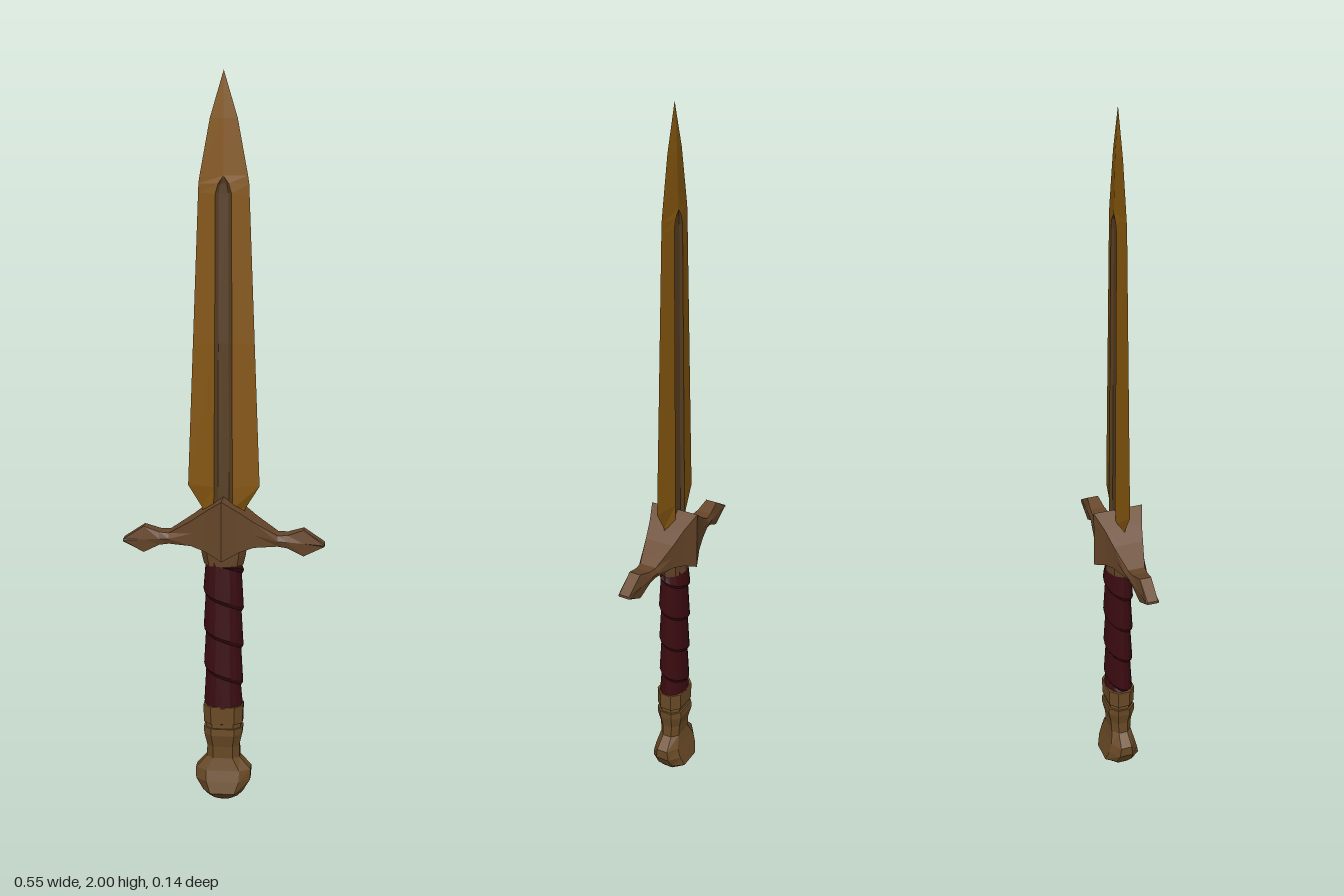
import * as THREE from 'three';

const mat = (name, color, side = THREE.FrontSide) => {
  const m = new THREE.MeshStandardMaterial({ color, side, flatShading: true });
  m.name = name;
  return m;
};

// Joins rings of points into a faceted skin; columns picks some strips only
function loft(rings, { columns = null, caps = true } = {}) {
  const pos = [];
  const tri = (a, b, c) => {
    const area = b.clone().sub(a).cross(c.clone().sub(a)).length();
    if (area > 1e-9) pos.push(...a, ...b, ...c);
  };
  const n = rings[0].length;
  for (let i = 0; i < rings.length - 1; i++) {
    for (let j = 0; j < n; j++) {
      if (columns && !columns.includes(j)) continue;
      const k = (j + 1) % n;
      const [a, b, c, d] = [rings[i][j], rings[i][k], rings[i + 1][k], rings[i + 1][j]];
      tri(a, b, c);
      tri(a, c, d);
    }
  }
  if (caps) {
    const first = rings[0], last = rings[rings.length - 1];
    for (let j = 1; j < n - 1; j++) {
      tri(first[0], first[j + 1], first[j]);
      tri(last[0], last[j], last[j + 1]);
    }
  }
  const g = new THREE.BufferGeometry();
  g.setAttribute('position', new THREE.Float32BufferAttribute(pos, 3));
  g.computeVertexNormals();
  return g;
}

// Horizontal oval ring with half sizes hx and hz
function oval(y, hx, hz, sides = 12) {
  return Array.from({ length: sides }, (_, j) => {
    const t = (j / sides) * Math.PI * 2;
    return new THREE.Vector3(Math.sin(t) * hx, y, Math.cos(t) * hz);
  });
}

// Horizontal ring with broad faces and chamfered corners
function chamfered(y, hx, hz) {
  const a = hx * 0.6, b = hz * 0.45;
  return [[-a, hz], [a, hz], [hx, b], [hx, -b], [a, -hz], [-a, -hz], [-hx, -b], [-hx, b]]
    .map(([x, z]) => new THREE.Vector3(x, y, z));
}

// Blade cross-section: w edge, t thickness, s fuller half width, f fuller floor
function bladeRing([y, w, t, s, f]) {
  const q = s * 0.6;
  return [[-w, 0], [-s, t], [-q, f], [q, f], [s, t], [w, 0], [s, -t], [q, -f], [-q, -f], [-s, -t]]
    .map(([x, z]) => new THREE.Vector3(x, y, z));
}

// Overlapping leather strip wound around the grip
function wrapGeometry(y0, y1, pitch) {
  const pos = [], index = [], perTurn = 16;
  const steps = Math.ceil(((y1 - y0) / pitch + 1) * perTurn);
  const clamp = y => Math.min(y1, Math.max(y0, y));
  for (let i = 0; i <= steps; i++) {
    const t = (i / perTurn) * Math.PI * 2;
    const top = y1 + pitch - (i / perTurn) * pitch;
    const put = (y, r) => {
      const k = 1 + 0.1 * (y - y0);
      pos.push(Math.sin(t) * (0.047 + r) * k, clamp(y), Math.cos(t) * (0.032 + r) * k);
    };
    put(top, 0.001);
    put(top - pitch * 0.9, 0.007);
    put(top - pitch, 0.001);
    if (i < steps) {
      for (let j = 0; j < 2; j++) {
        const a = i * 3 + j, b = a + 3;
        index.push(a, a + 1, b + 1, a, b + 1, b);
      }
    }
  }
  const g = new THREE.BufferGeometry();
  g.setAttribute('position', new THREE.Float32BufferAttribute(pos, 3));
  g.setIndex(index);
  g.computeVertexNormals();
  return g;
}

export function createModel() {
  const group = new THREE.Group();
  group.name = 'dagger';
  const gold = mat('blade gold', 0x85560f);
  const fullerBrown = mat('fuller brown', 0x573d20);
  const bronze = mat('guard bronze', 0x67462a);
  const pommelBronze = mat('pommel bronze', 0x6a4a26);
  const leather = mat('dark red leather', 0x3a0b10, THREE.DoubleSide);
  const add = (name, geometry, material) => {
    const mesh = new THREE.Mesh(geometry, material);
    mesh.name = name;
    group.add(mesh);
  };

  // Blade with a sunken fuller on both faces
  const blade = [
    [0.80, 0.045, 0.016, 0.026, 0.010],
    [0.85, 0.060, 0.016, 0.026, 0.010],
    [0.91, 0.097, 0.017, 0.025, 0.010],
    [1.30, 0.082, 0.014, 0.023, 0.008],
    [1.69, 0.067, 0.011, 0.021, 0.006],
    [1.715, 0.066, 0.011, 0.014, 0.007],
    [1.735, 0.063, 0.011, 0, 0.011],
    [1.88, 0.036, 0.007, 0, 0.007],
    [2.00, 0, 0, 0, 0],
  ].map(bladeRing);
  add('blade', loft(blade, { columns: [0, 4, 5, 9], caps: false }), gold);
  add('fuller', loft(blade, { columns: [1, 2, 3, 6, 7, 8], caps: false }), fullerBrown);

  // Crossguard: tapering arms with flared, pointed ends
  const arm = [
    [0, 0.715, 0.882, 0.070],
    [0.045, 0.738, 0.850, 0.053],
    [0.085, 0.750, 0.820, 0.042],
    [0.148, 0.750, 0.780, 0.030],
    [0.175, 0.745, 0.781, 0.026],
    [0.218, 0.722, 0.795, 0.020],
    [0.275, 0.750, 0.757, 0.018],
  ];
  const armRing = (x, lo, hi, z) => {
    const mid = (lo + hi) / 2;
    const inset = Math.abs(x) > 0.1 ? z * 0.8 : z;
    return [[hi, -inset], [hi, inset], [mid, z], [lo, inset], [lo, -inset], [mid, -z]]
      .map(([y, d]) => new THREE.Vector3(x, y, d));
  };
  const left = arm.map(([x, lo, hi, z]) => armRing(x, lo, hi, z));
  const right = arm.slice(1).reverse().map(([x, lo, hi, z]) => armRing(-x, lo, hi, z));
  add('crossguard', loft([...right, ...left]), bronze);

  // Collar under the guard, dipping to a point front and back
  const collar = [[0.69, 0.054, 0.034], [0.715, 0.060, 0.036], [0.76, 0.066, 0.038]]
    .map(([y, hx, hz]) => oval(y, hx, hz, 8));
  for (const p of collar[0]) if (Math.abs(p.x) < 0.01) p.y -= 0.018;
  add('collar', loft(collar), bronze);

  // Grip core and its spiral wrap
  add('gripCore', loft([oval(0.27, 0.046, 0.031), oval(0.70, 0.049, 0.033)]), leather);
  add('gripWrap', wrapGeometry(0.28, 0.69, 0.108), leather);

  // Ferrule bands between grip and pommel
  add('ferrule', loft([
    chamfered(0.215, 0.049, 0.033), chamfered(0.232, 0.049, 0.033),
    chamfered(0.234, 0.054, 0.037), chamfered(0.285, 0.055, 0.038),
  ]), pommelBronze);

  // Waisted pommel that swells to a rounded foot
  add('pommel', loft([
    [0, 0.020, 0.012], [0.012, 0.040, 0.030], [0.032, 0.056, 0.052],
    [0.065, 0.076, 0.044], [0.095, 0.077, 0.036], [0.130, 0.046, 0.029],
    [0.165, 0.045, 0.031], [0.200, 0.053, 0.039], [0.220, 0.054, 0.038],
  ].map(([y, hx, hz]) => chamfered(y, hx, hz))), pommelBronze);

  return group;
}
